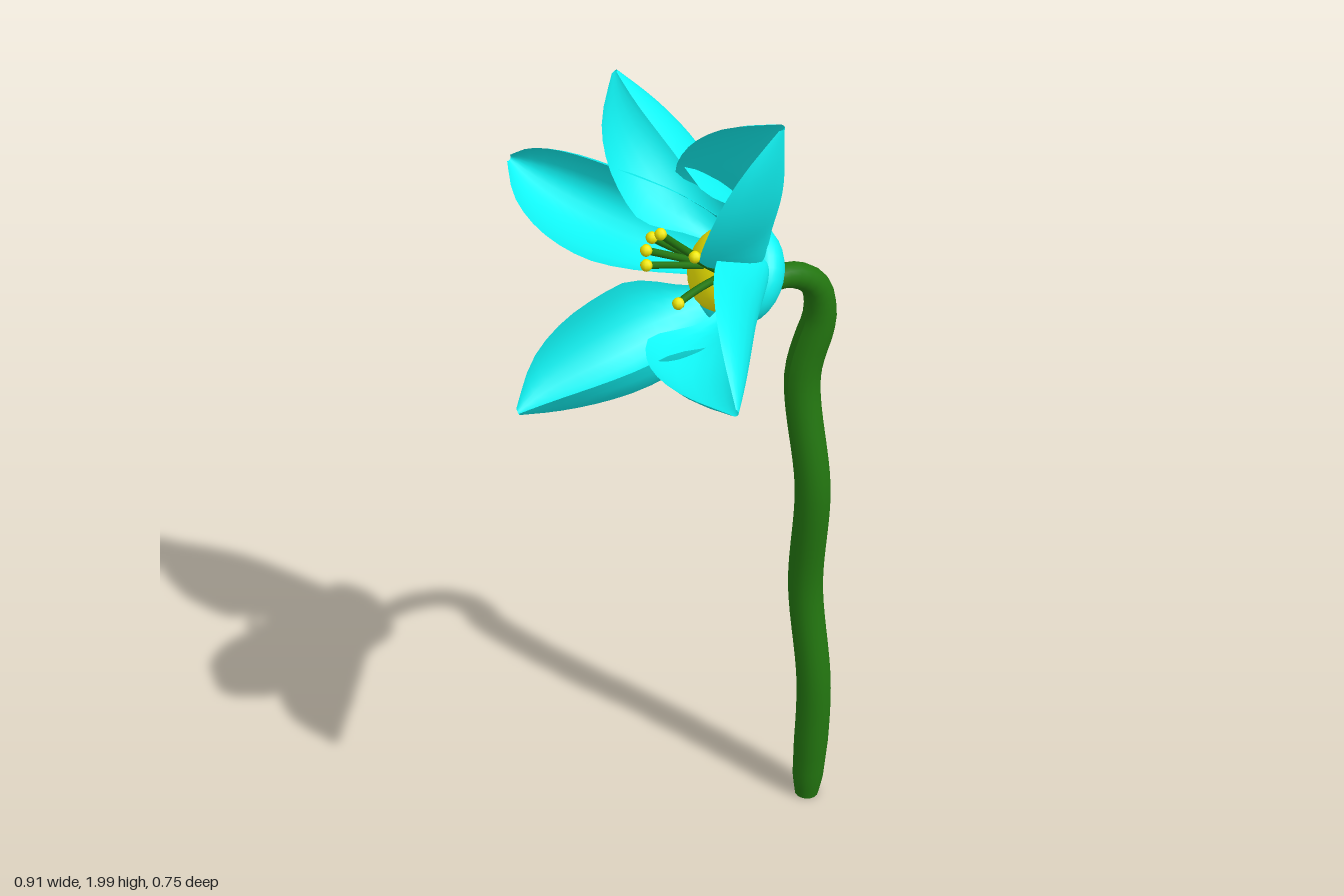
import * as THREE from 'three';

const V = (x, y, z) => new THREE.Vector3(x, y, z);
const mat = (color, side = THREE.FrontSide) => new THREE.MeshStandardMaterial({ color, side });
const AXIS = V(-0.05, 0.48, 0.87).normalize(); // direction the blossom faces
const HEART = V(0.055, 1.52, -0.1); // centre of the blossom's cup

function add(group, name, geometry, material) {
  const mesh = new THREE.Mesh(geometry, material);
  mesh.name = name;
  group.add(mesh);
  return mesh;
}

// Tube whose radius follows a list of [t, radius] stops
function taperedTube(curve, stops, segments, sides) {
  const geo = new THREE.TubeGeometry(curve, segments, 1, sides);
  const pos = geo.attributes.position;
  const v = V();
  for (let i = 0; i <= segments; i++) {
    const t = i / segments;
    const k = Math.max(1, stops.findIndex(s => s[0] >= t));
    const [a, b] = [stops[k - 1], stops[k]];
    const r = THREE.MathUtils.mapLinear(t, a[0], b[0], a[1], b[1]);
    const c = curve.getPointAt(t);
    for (let j = 0; j <= sides; j++) {
      const n = i * (sides + 1) + j;
      v.fromBufferAttribute(pos, n).sub(c).multiplyScalar(r).add(c);
      pos.setXYZ(n, v.x, v.y, v.z);
    }
  }
  geo.computeVertexNormals();
  return geo;
}

// Half-tube petal: deep rounded cross-sections along a spine, open toward the axis
const petalWidth = new THREE.SplineCurve([
  [0, 0.68], [0.2, 0.92], [0.42, 1], [0.65, 0.88], [0.85, 0.56], [1, 0.07],
].map(p => new THREE.Vector2(...p)));

function petalGeometry(base, mid, tip, halfWidth, depth) {
  const rows = 14, cols = 14;
  const spine = new THREE.CatmullRomCurve3([base, mid, tip]);
  const along = tip.clone().sub(base).normalize();
  const across = AXIS.clone().cross(along).normalize();
  const inward = along.clone().cross(across).normalize();
  const points = [], index = [];
  for (let i = 0; i <= rows; i++) {
    const w = petalWidth.getPoint(i / rows);
    const t = THREE.MathUtils.clamp(w.x, 0, 1);
    const c = spine.getPointAt(t);
    // shallow where it leaves the cup, deep from the middle on
    const d = depth * w.y * (0.4 + 0.6 * THREE.MathUtils.smoothstep(t, 0, 0.4));
    for (let j = 0; j <= cols; j++) {
      const a = (j / cols - 0.5) * Math.PI * 1.04;
      const p = c.clone().addScaledVector(across, halfWidth * w.y * Math.sin(a))
        .addScaledVector(inward, d * (1 - Math.cos(a)));
      points.push(p.x, p.y, p.z);
      if (i < rows && j < cols) {
        const n = i * (cols + 1) + j, m = n + cols + 1;
        index.push(n, m, n + 1, n + 1, m, m + 1);
      }
    }
  }
  const geo = new THREE.BufferGeometry();
  geo.setAttribute('position', new THREE.Float32BufferAttribute(points, 3));
  geo.setIndex(index);
  geo.computeVertexNormals();
  return geo;
}

export function createModel() {
  const model = new THREE.Group();
  model.name = 'flower';
  const green = mat(0x237610);
  const cyan = mat(0x10f4f4, THREE.DoubleSide);
  const yellow = mat(0xf0e800);

  // Wavy stem hooking forward into the cup
  const path = new THREE.CatmullRomCurve3([
    V(0.058, 0, -0.328), V(0.07, 0.33, -0.33), V(0.045, 0.61, -0.318),
    V(0.072, 0.9, -0.307), V(0.036, 1.18, -0.3), V(0.055, 1.34, -0.328),
    V(0.06, 1.42, -0.305), V(0.058, 1.465, -0.24), V(0.057, 1.472, -0.14),
  ]);
  add(model, 'stem', taperedTube(path,
    [[0, 0.028], [0.03, 0.036], [0.1, 0.04], [0.8, 0.04], [0.9, 0.03], [1, 0.025]], 60, 16), green);
  const cap = add(model, 'stemEnd', new THREE.CircleGeometry(0.028, 16), green);
  cap.rotation.x = Math.PI / 2;
  cap.position.set(0.058, 0, -0.328);

  // Shallow cup behind the petals and the yellow heart, both turned to the blossom's axis
  const turn = new THREE.Quaternion().setFromUnitVectors(V(0, 1, 0), AXIS);
  const profile = new THREE.SplineCurve([
    [0, -0.072], [0.06, -0.064], [0.1, -0.036], [0.115, -0.002], [0.105, 0.025], [0.08, 0.035],
  ].map(p => new THREE.Vector2(...p)));
  const cup = add(model, 'cup', new THREE.LatheGeometry(profile.getPoints(16), 28), cyan);
  cup.position.copy(HEART);
  cup.quaternion.copy(turn);
  const heart = add(model, 'heart', new THREE.SphereGeometry(0.09, 24, 16), yellow);
  heart.scale.y = 0.6;
  heart.position.copy(HEART).addScaledVector(AXIS, 0.045);
  heart.quaternion.copy(turn);

  // Five petals: base, middle and tip of the spine, half width, depth
  const petals = new THREE.Group();
  petals.name = 'petals';
  model.add(petals);
  [
    [V(0.1, 1.61, -0.13), V(0.225, 1.82, -0.07), V(0.3, 1.99, -0.01), 0.105, 0.175],
    [V(0.02, 1.61, -0.13), V(-0.11, 1.8, -0.055), V(-0.17, 1.94, 0.04), 0.095, 0.135],
    [V(-0.03, 1.55, -0.095), V(-0.24, 1.585, 0.005), V(-0.455, 1.64, 0.11), 0.098, 0.16],
    [V(0.045, 1.41, -0.07), V(0.025, 1.355, 0.15), V(-0.08, 1.29, 0.37), 0.11, 0.14],
    [V(0.13, 1.5, -0.09), V(0.27, 1.485, 0.055), V(0.45, 1.5, 0.22), 0.118, 0.155],
  ].forEach(p => add(petals, 'petal', petalGeometry(...p), cyan));

  // Stamens: thin green filaments with yellow tips
  const stamens = new THREE.Group();
  stamens.name = 'stamens';
  model.add(stamens);
  [
    V(0.065, 1.69, 0.11), V(0.01, 1.65, 0.09), V(0.03, 1.64, 0.12),
    V(0.135, 1.565, 0.12), V(0.125, 1.65, 0.07), V(0.05, 1.62, 0.135),
  ].forEach(tip => {
    const root = HEART.clone().addScaledVector(AXIS, 0.07);
    root.x += (tip.x - 0.06) * 0.5;
    const bend = root.clone().lerp(tip, 0.55).addScaledVector(AXIS, 0.015);
    const curve = new THREE.QuadraticBezierCurve3(root, bend, tip);
    add(stamens, 'filament', new THREE.TubeGeometry(curve, 8, 0.008, 8), green);
    add(stamens, 'anther', new THREE.SphereGeometry(0.013, 8, 6), yellow).position.copy(tip);
  });

  return model;
}
